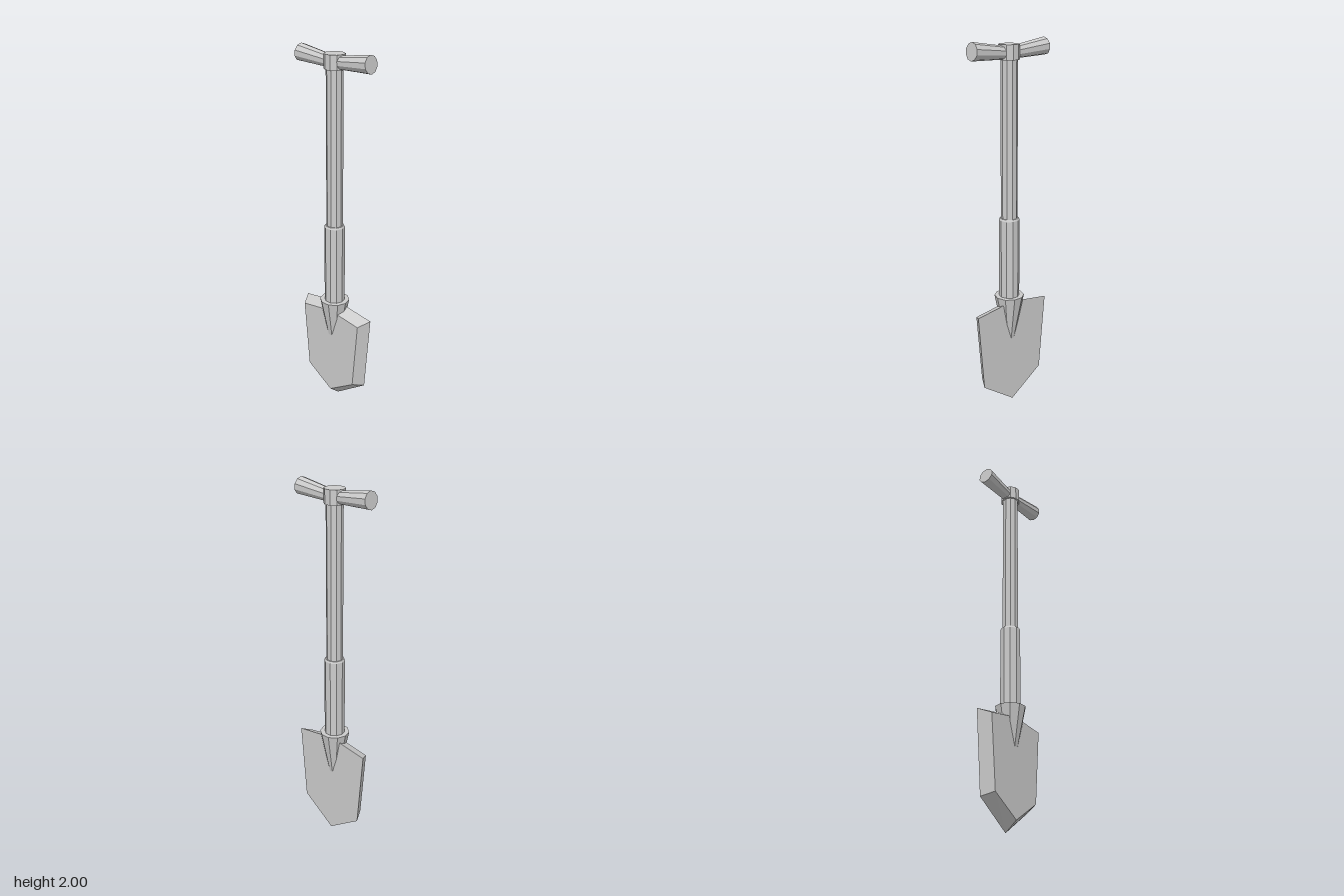
import * as THREE from 'three';
import { ConvexGeometry } from 'three/addons/geometries/ConvexGeometry.js';

const material = new THREE.MeshStandardMaterial({ color: 0xcccccc, flatShading: true });
const SIDES = 10;

function part(name, geometry) {
  const mesh = new THREE.Mesh(geometry, material);
  mesh.name = name;
  return mesh;
}

// Ten-sided upright section with its corners on the x axis
function section(name, rTop, rBottom, y0, y1) {
  const g = new THREE.CylinderGeometry(rTop, rBottom, y1 - y0, SIDES);
  g.rotateY(Math.PI / 2);
  g.translate(0, (y0 + y1) / 2, 0);
  return part(name, g);
}

// Mirrored half outline of the blade at a given depth
function outline(half, z) {
  return half.flatMap(([x, y]) =>
    x === 0 ? [new THREE.Vector3(0, y, z)]
      : [new THREE.Vector3(x, y, z), new THREE.Vector3(-x, y, z)]);
}

export function createModel() {
  const model = new THREE.Group();
  model.name = 'shovel';

  // Blade: wide flat back, smaller front face, bevelled rim between
  const back = outline([[0, 0.605], [0.236, 0.57], [0.2, 0.14], [0, 0]], -0.029);
  const front = outline([[0, 0.575], [0.2, 0.545], [0.167, 0.162], [0, 0.055]], 0.036);
  model.add(part('blade', new ConvexGeometry([...back, ...front])));

  // Socket, sleeve, shaft and top collar
  model.add(section('socket', 0.081, 0.01, 0.28, 0.635));
  const sleeveProfile = [[0, 0.6], [0.055, 0.6], [0.055, 1.07], [0.05, 1.08], [0, 1.08]]
    .map(([r, y]) => new THREE.Vector2(r, y));
  const sleeve = new THREE.LatheGeometry(sleeveProfile, SIDES);
  sleeve.rotateY(Math.PI / 2);
  model.add(part('sleeve', sleeve));
  model.add(section('shaft', 0.044, 0.044, 1.05, 1.93));
  model.add(section('collar', 0.054, 0.054, 1.903, 1.978));

  // Two flared grips, tilted slightly upward
  for (const side of [1, -1]) {
    const length = 0.233;
    const g = new THREE.CylinderGeometry(0.0455, 0.031, length, SIDES);
    g.translate(0, length / 2, 0);
    g.rotateY(Math.PI / 2);
    g.rotateZ(-side * (Math.PI / 2 - 0.09));
    g.translate(0, 1.934, 0);
    model.add(part(side > 0 ? 'leftGrip' : 'rightGrip', g));
  }
  return model;
}
